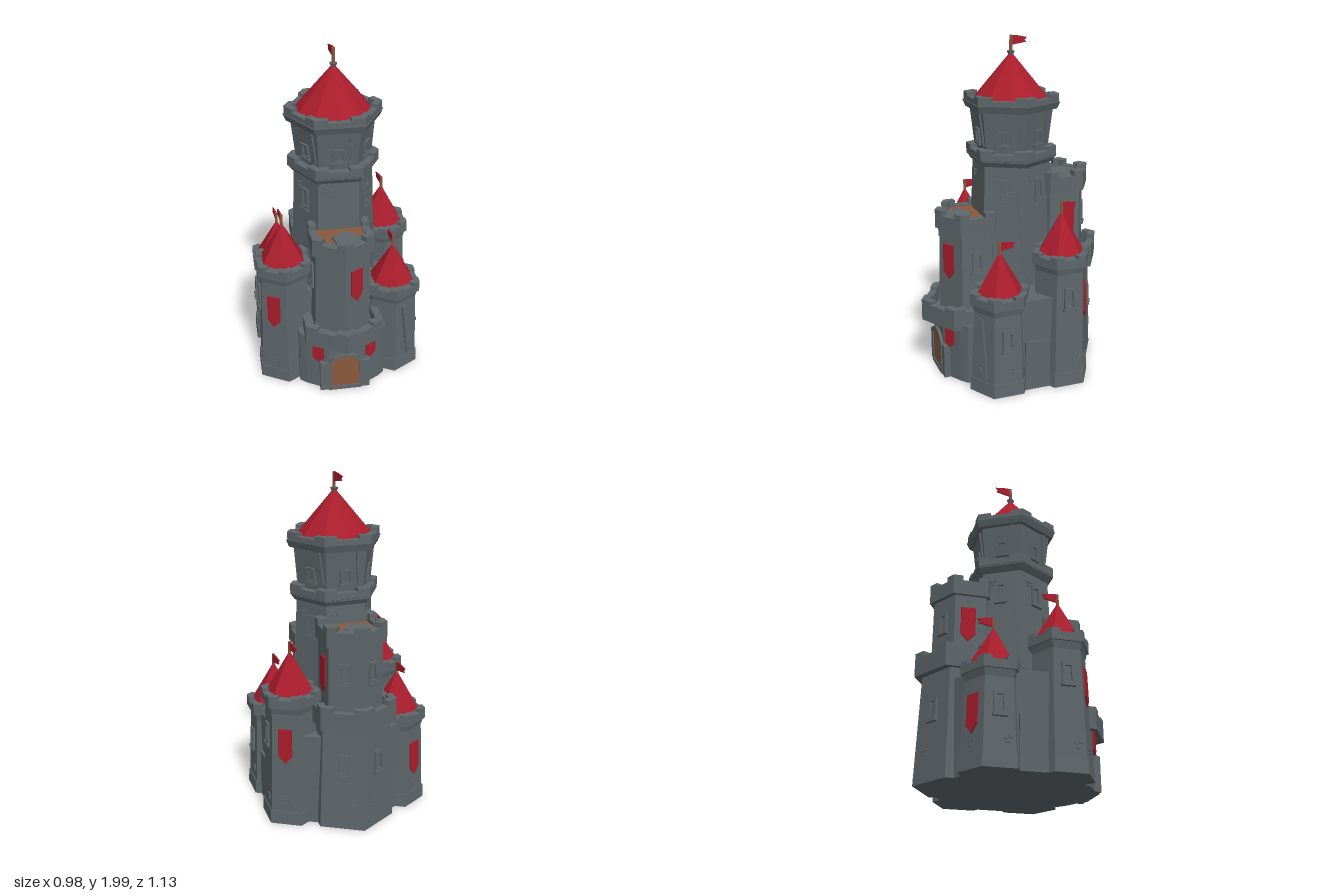
import * as THREE from 'three';

const stone = new THREE.MeshStandardMaterial({ color: 0x5e676b });
const red = new THREE.MeshStandardMaterial({ color: 0xaa1d2c });
const wood = new THREE.MeshStandardMaterial({ color: 0x8a583c });
stone.name = 'stone grey'; red.name = 'banner red'; wood.name = 'wood brown';
const COS30 = Math.cos(Math.PI / 6);

export function createModel() {
  const model = new THREE.Group();
  model.name = 'castle';

  const add = (name, geo, mat, x = 0, y = 0, z = 0, parent = model) => {
    const flat = geo.index ? geo.toNonIndexed() : geo;
    flat.computeVertexNormals();
    const mesh = new THREE.Mesh(flat, mat);
    mesh.name = name;
    mesh.position.set(x, y, z);
    parent.add(mesh);
    return mesh;
  };
  const box = (name, w, h, d, x, y, z, parent = model) =>
    add(name, new THREE.BoxGeometry(w, h, d), stone, x, y, z, parent);
  const polygon = (pts) => new THREE.Shape(pts.map(([x, y]) => new THREE.Vector2(x, y)));
  const extrude = (shape, depth) => new THREE.ExtrudeGeometry(shape, { depth, bevelEnabled: false, curveSegments: 6 });
  // Plan outline given as [x, z], raised from y0 to y1
  const prism = (name, pts, y0, y1, holes = []) => {
    const shape = polygon(pts.map(([x, z]) => [x, -z]));
    holes.forEach((h) => shape.holes.push(polygon(h.map(([x, z]) => [x, -z]))));
    return add(name, extrude(shape, y1 - y0).rotateX(-Math.PI / 2), stone, 0, y0, 0);
  };
  // Hexagonal shaft; the returned record lets details be fixed to its walls
  const shaft = (name, x, z, rot, y0, y1, r0, r1) => {
    add(name, new THREE.CylinderGeometry(r1, r0, y1 - y0, 6).rotateY(rot), stone, x, (y0 + y1) / 2, z);
    return { x, z, y0, y1, r0, r1 };
  };
  const hexPoint = (x, z, r, a) => [x + r * Math.sin(a), z + r * Math.cos(a)];
  const hexagon = (x, z, r, rot = 0) => [0, 1, 2, 3, 4, 5].map((i) => hexPoint(x, z, r, rot + (i * Math.PI) / 3));
  // Hollow hexagonal parapet with raised corner merlons
  const parapet = (name, x, z, rot, y0, y1, r, thick, merlon = 0.03) => {
    const outer = hexagon(x, z, r, rot), inner = hexagon(x, z, r - thick, rot);
    prism(name, outer, y0, y1 - merlon, [inner]);
    const mix = (a, b, t) => [a[0] + (b[0] - a[0]) * t, a[1] + (b[1] - a[1]) * t];
    for (let i = 0; i < 6; i++) {
      const p = (i + 5) % 6, n = (i + 1) % 6;
      prism(name + 'Merlon', [mix(outer[i], outer[p], 0.27), outer[i], mix(outer[i], outer[n], 0.27),
        mix(inner[i], inner[n], 0.23), inner[i], mix(inner[i], inner[p], 0.23)], y1 - merlon, y1);
    }
  };
  // Group lying on a shaft wall whose outward normal is at angle a from +z
  const onWall = (s, a, y, side = 0) => {
    const r = s.r0 + ((s.r1 - s.r0) * (y - s.y0)) / (s.y1 - s.y0);
    const g = new THREE.Group();
    const [px, pz] = hexPoint(s.x, s.z, r * COS30, a);
    g.position.set(px + side * Math.cos(a), y, pz - side * Math.sin(a));
    g.rotation.set(-Math.atan(((s.r0 - s.r1) * COS30) / (s.y1 - s.y0)), a, 0, 'YXZ');
    g.name = 'wallDetail';
    model.add(g);
    return g;
  };
  const banner = (parent, w = 0.08, h = 0.21) => {
    const s = polygon([[-w / 2, h / 2], [-w / 2, -h * 0.28], [0, -h / 2], [w / 2, -h * 0.28], [w / 2, h / 2]]);
    add('banner', extrude(s, 0.009), red, 0, 0, 0.002, parent);
  };
  const window_ = (parent, w = 0.07, h = 0.13) => {
    const s = polygon([[-w / 2, -h / 2], [w / 2, -h / 2], [w * 0.42, h / 2], [-w * 0.46, h / 2]]);
    s.holes.push(polygon([[-w * 0.3, -h * 0.34], [w * 0.3, -h * 0.34], [w * 0.24, h * 0.36], [-w * 0.24, h * 0.36]]));
    add('windowFrame', extrude(s, 0.016), stone, 0, 0, -0.004, parent);
    box('windowSill', w * 1.15, 0.014, 0.03, 0, -h / 2, 0.004, parent);
  };
  // Loose bricks standing proud of a wall
  const bricks = (s, a, y, side) => {
    const g = onWall(s, a, y, side);
    [[0, 0], [0.026, 0.004], [0.011, -0.022]].forEach(([x, dy]) => box('looseBrick', 0.021, 0.014, 0.014, x, dy, 0, g));
  };
  // Pole with a pennant trailing towards the back
  const flag = (x, y, z, k) => {
    add('flagPole', new THREE.CylinderGeometry(0.009 * k, 0.01 * k, 0.1 * k, 5), wood, x, y + 0.035 * k, z);
    const s = polygon([[0, 0.085], [0.04, 0.082], [0.1, 0.07], [0.085, 0.055], [0.095, 0.043], [0.04, 0.035], [0, 0.03]]);
    add('flag', extrude(s, 0.009).scale(k, k, k).rotateY(Math.PI / 2 + 0.12), red, x - 0.004, y, z);
  };

  const D = Math.PI / 3, Q = Math.PI / 6;

  // Curtain walls and gatehouse base
  prism('curtainWall', [[0.44, 0.2], [-0.44, 0.2], [-0.44, -0.26], [-0.15, -0.4], [0.15, -0.4], [0.44, -0.26]], 0, 0.55);
  prism('gatehouse', [[0.1, 0.465], [0.22, 0.395], [0.26, 0.36], [0.26, 0.15],
    [-0.26, 0.15], [-0.26, 0.36], [-0.22, 0.395], [-0.1, 0.465]], 0, 0.36);
  for (const s of [-1, 1]) {
    box('wallButtress', 0.06, 0.3, 0.15, s * 0.425, 0.15, 0);
    box('gatePost', 0.05, 0.2, 0.05, s * 0.125, 0.1, 0.45);
    const g = new THREE.Group();
    g.name = 'gateBanner';
    g.position.set(s * 0.155, 0.265, 0.436);
    g.rotation.y = s * Q;
    model.add(g);
    banner(g, 0.07, 0.13);
  }

  // Arched gate
  const arch = (w, y0, y1) => {
    const s = polygon([[-w, y0], [w, y0], [w, y1 - w * 0.6]]);
    s.quadraticCurveTo(w * 0.8, y1, 0, y1);
    s.quadraticCurveTo(-w * 0.8, y1, -w, y1 - w * 0.6);
    return s;
  };
  const frame = arch(0.1, 0, 0.26);
  frame.holes.push(arch(0.084, 0.025, 0.245));
  add('gateFrame', extrude(frame, 0.022), stone, 0, 0, 0.46);
  add('gateDoor', extrude(arch(0.086, 0.02, 0.247), 0.009), wood, 0, 0, 0.466);

  // Front balcony and front tower
  prism('balconyFloor', hexagon(0, 0.3, 0.25), 0.33, 0.37);
  parapet('balconyParapet', 0, 0.3, 0, 0.33, 0.46, 0.265, 0.05, 0.02);
  const front = shaft('frontTower', 0, 0.265, 0, 0.36, 0.92, 0.19, 0.18);
  parapet('frontTowerParapet', 0, 0.265, 0, 0.9, 1.01, 0.205, 0.05);
  add('frontTowerDeck', new THREE.CylinderGeometry(0.17, 0.17, 0.02, 6), wood, 0, 0.96, 0.265);
  add('frontDeckSlab', new THREE.CylinderGeometry(0.085, 0.095, 0.02, 5).rotateY(0.5), stone, 0.025, 0.975, 0.345);
  banner(onWall(front, Q, 0.705, -0.01));
  for (const s of [-1, 1]) window_(onWall(front, s * Math.PI / 2, 0.71));

  // Back tower in two stages
  const backLow = shaft('backTowerBase', 0, -0.28, 0, 0, 0.64, 0.262, 0.235);
  prism('backTerrace', hexagon(0, -0.297, 0.25), 0.62, 0.68);
  parapet('backTerraceParapet', 0, -0.297, 0, 0.62, 0.76, 0.264, 0.045);
  const back = shaft('backTower', 0, -0.28, 0, 0.65, 1.12, 0.19, 0.185);
  parapet('backTowerParapet', 0, -0.285, 0, 1.09, 1.21, 0.207, 0.058);
  add('backTowerDeck', new THREE.CylinderGeometry(0.17, 0.17, 0.02, 6), wood, 0, 1.15, -0.285);
  add('backDeckSlab', new THREE.CylinderGeometry(0.085, 0.095, 0.02, 6).rotateY(0.3), stone, -0.025, 1.165, -0.345);
  for (const s of [-1, 1]) {
    banner(onWall(back, s * Math.PI / 2, 0.905, s * 0.015), 0.085);
    window_(onWall(back, Math.PI - s * Q, 0.93));
    window_(onWall(backLow, Math.PI - s * Q, 0.4));
    bricks(backLow, Math.PI - s * Q, 0.18, s * 0.06);
  }

  // Central keep with flared upper storey
  const keep = shaft('keep', 0, 0, Q, 0, 1.3, 0.278, 0.23);
  shaft('keepCornice', 0, 0, Q, 1.27, 1.31, 0.242, 0.27);
  parapet('keepLedge', 0, 0, Q, 1.3, 1.365, 0.268, 0.06, 0.02);
  const upper = shaft('keepUpperStorey', 0, 0, Q, 1.31, 1.6, 0.212, 0.247);
  shaft('keepCrown', 0, 0, Q, 1.58, 1.62, 0.27, 0.287);
  parapet('keepParapet', 0, 0, Q, 1.61, 1.668, 0.28, 0.045, 0.02);
  add('keepRoof', new THREE.CylinderGeometry(0.004, 0.215, 0.25, 10), red, 0, 1.77, 0);
  add('keepFinial', new THREE.CylinderGeometry(0.024, 0.014, 0.025, 6), stone, 0, 1.89, 0);
  flag(0, 1.905, 0, 1);
  for (let i = 0; i < 6; i++) {
    window_(onWall(upper, i * D, 1.43), 0.07, 0.09);
    box('upperStrip', 0.025, 0.2, 0.02, 0.075, 0.02, 0, onWall(upper, i * D, 1.46)).rotation.z = 0.08;
    if (i % 3) window_(onWall(keep, i * D, 1.13));
    bricks(keep, i * D, 1.21, -0.07);
  }

  // Four corner towers: [x side, z side, height, has banner]
  for (const [sx, sz, h, hasBanner] of [[1, 1, 0.6, 0], [-1, 1, 0.8, 1], [1, -1, 0.8, 1], [-1, -1, 0.6, 1]]) {
    const x = sx * 0.33, z = sz * 0.187;
    const t = shaft('cornerTower', x, z, 0, 0, h - 0.06, 0.176, 0.153);
    shaft('cornerPlinth', x, z, 0, 0, 0.08, 0.184, 0.18);
    shaft('cornerCornice', x, z, 0, h - 0.11, h - 0.04, 0.156, 0.174);
    parapet('cornerParapet', x, z, 0, h - 0.07, h, 0.178, 0.042, 0.02);
    add('cornerRoof', new THREE.CylinderGeometry(0.004, 0.138, 0.23, 6), red, x, h + 0.105, z);
    flag(x, h + 0.2, z, 0.95);
    const outward = sx * (sz > 0 ? Q : Math.PI - Q);
    if (hasBanner) banner(onWall(t, outward, h - 0.305));
    else box('leaningBeam', 0.03, 0.36, 0.025, 0, 0, 0, onWall(t, outward, 0.28)).rotation.z = 0.12;
    window_(onWall(t, sx * Math.PI / 2, h - 0.26));
    bricks(t, sx * Math.PI / 2, 0.16, 0.03);
    bricks(t, outward, 0.15, -0.02);
  }

  // Leaning stone beams on the towers
  box('leaningBeam', 0.04, 0.5, 0.025, 0, 0, 0, onWall(front, -Q, 0.68, 0.02)).rotation.z = 0.12;
  for (const a of [D, 4 * D]) box('leaningBeam', 0.05, 0.5, 0.025, 0, 0, 0, onWall(keep, a, 0.88, 0.07)).rotation.z = 0.1;
  return model;
}
